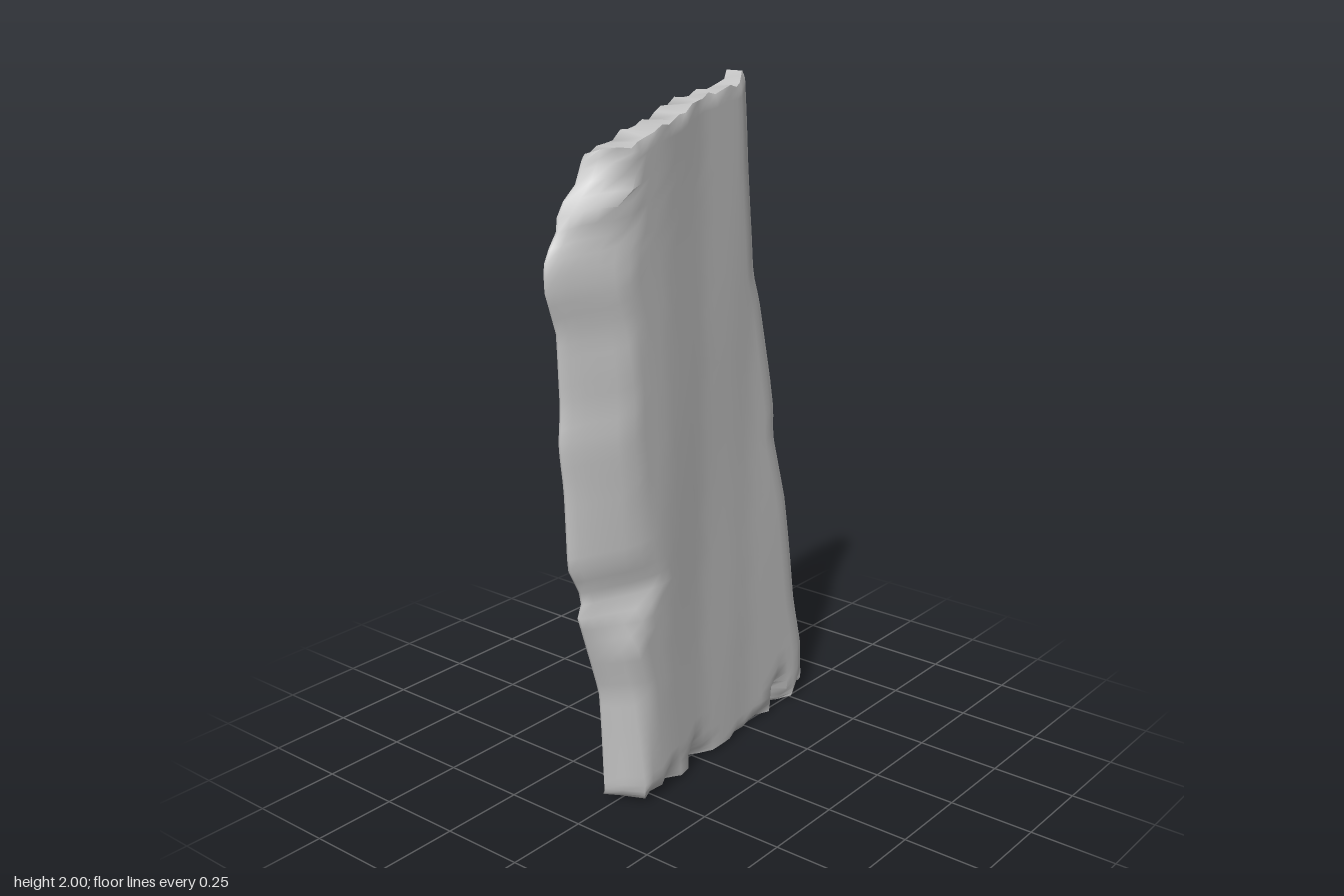
import * as THREE from 'three';
import { toCreasedNormals } from 'three/addons/utils/BufferGeometryUtils.js';

const { lerp, smoothstep } = THREE.MathUtils;

// piecewise linear curve through [position, value] pairs
function curve(pts) {
  return (p) => {
    if (p <= pts[0][0]) return pts[0][1];
    for (let i = 1; i < pts.length; i++) {
      const [a, va] = pts[i - 1], [b, vb] = pts[i];
      if (p <= b) return va + (vb - va) * (p - a) / (b - a);
    }
    return pts[pts.length - 1][1];
  };
}

// outline: left and right edge x by height, top and bottom height across the width
const leftEdge = curve([[0, -0.345], [0.03, -0.36], [0.2, -0.37], [0.35, -0.38], [0.61, -0.46],
  [0.645, -0.435], [0.75, -0.49], [0.98, -0.5], [1.1, -0.515], [1.2, -0.505], [1.4, -0.515],
  [1.52, -0.555], [1.6, -0.55], [1.65, -0.505], [1.72, -0.495], [1.75, -0.44], [1.84, -0.4]]);
const rightEdge = curve([[0, 0.54], [0.04, 0.55], [0.18, 0.545], [0.35, 0.5], [0.5, 0.475], [0.7, 0.44],
  [0.92, 0.375], [1, 0.375], [1.1, 0.355], [1.35, 0.295], [1.43, 0.265], [1.55, 0.255], [1.75, 0.23], [2, 0.21]]);
const topEdge = curve([[0, 1.84], [0.07, 1.86], [0.16, 1.865], [0.25, 1.89], [0.33, 1.9], [0.44, 1.91],
  [0.55, 1.935], [0.65, 1.95], [0.75, 1.955], [0.82, 1.965], [0.93, 1.97], [1, 2]]);
const bottomEdge = curve([[0, 0.015], [0.8, 0.006], [0.9, 0], [1, 0.04]]);

// front and back depth by x
const frontDepth = curve([[-0.35, 0.085], [-0.2, 0.078], [-0.1, 0.062], [0, 0.045], [0.15, 0.036],
  [0.25, 0.026], [0.55, 0.024]]);
const backDepth = curve([[-0.55, -0.042], [-0.4, -0.049], [-0.2, -0.06], [-0.12, -0.075], [-0.05, -0.09],
  [0.03, -0.097], [0.2, -0.088], [0.4, -0.085], [0.55, -0.075]]);
// the back draws in towards the foot and the top
const backScale = curve([[0.05, 0.8], [0.4, 0.88], [0.7, 0.93], [0.95, 1], [1.25, 0.97], [1.6, 0.8], [1.95, 0.6]]);
// the broken left side slopes away from this ridge, measured from the left edge
const ridge = curve([[0, 0.05], [0.5, 0.09], [0.66, 0.22], [1, 0.17], [1.3, 0.17], [1.6, 0.21], [1.75, 0.1], [1.86, 0.05]]);
// chips along the lower front edge: [x, height]
const chips = [[-0.33, 0.06], [-0.25, 0.07], [-0.18, 0.08], [-0.03, 0.13], [0.2, 0.04], [0.3, 0.06], [0.42, 0.15], [0.53, 0.08]];

const ripple = (x, y) => 0.002 * Math.sin(x * 14 + y * 4) * Math.sin(y * 9 + x * 5);

function frontZ(x, y, t) {
  const r = ridge(y), fromLeft = x - leftEdge(y), fromRight = rightEdge(y) - x;
  let z = frontDepth(x);
  if (fromLeft < r) z = lerp(-0.018, frontDepth(leftEdge(y) + r), Math.pow(Math.max(0, fromLeft) / r, 0.8));
  z -= 0.012 * (1 - smoothstep(fromRight, 0, 0.035));
  for (const [c, h] of chips) z -= 0.6 * Math.max(0, h * (1 - Math.abs(x - c) / 0.06) - y);
  if (t === 1) z -= 0.004 + 0.004 * Math.sin(x * 38);
  return z + ripple(x, y);
}

function backZ(x, y) {
  // the foot curves forward and both sides are worn
  const sideZ = -0.022 - 0.022 * smoothstep(y, 0.1, 0.9);
  const fromRight = Math.max(0, rightEdge(y) - x), fromLeft = Math.max(0, x - leftEdge(y));
  let z = backDepth(x) * backScale(y);
  z = lerp(Math.max(sideZ, z), z, Math.min(1, fromRight / 0.09));
  z = lerp(-0.025, z, Math.min(1, fromLeft / 0.03));
  return lerp(0.012, z, Math.sqrt(Math.min(1, y / 0.1))) + ripple(x + 2, y);
}

function slabGeometry() {
  const columns = [0, 0.025, 0.06];
  for (let i = 2; i <= 18; i++) columns.push(i * 0.05);
  columns.push(0.935, 0.965, 0.985, 1);
  const rows = [0, 0.006, 0.014, 0.025, 0.04, 0.055, 0.075];
  for (let i = 0; i <= 44; i++) rows.push(0.1 + i * 0.02);
  rows.push(0.99, 1);

  const m = columns.length, n = m * 2, pos = [], index = [];
  // one closed ring per row: front left to right, then back right to left
  for (const t of rows) {
    for (let j = 0; j < n; j++) {
      const back = j >= m, u = columns[back ? n - 1 - j : j];
      let y = lerp(bottomEdge(u), topEdge(u), t);
      const x = lerp(leftEdge(y), rightEdge(y), u);
      const front = frontZ(x, y, t);
      const z = back ? Math.min(backZ(x, y), front - 0.006) : front;
      if (t === 1 && u < 1) y += (back ? -0.012 : 0) + 0.006 * Math.sin(u * 47 + (back ? 2 : 0));
      pos.push(x, y, z);
    }
  }
  const quad = (a, b, c, d) => index.push(a, b, c, a, c, d);
  for (let i = 0; i < rows.length - 1; i++) {
    for (let j = 0; j < n; j++) {
      const k = (j + 1) % n;
      quad(i * n + j, i * n + k, (i + 1) * n + k, (i + 1) * n + j);
    }
  }
  // broken top and foot surfaces
  const last = (rows.length - 1) * n;
  for (let j = 0; j < m - 1; j++) {
    quad(last + j, last + j + 1, last + n - 2 - j, last + n - 1 - j);
    quad(n - 1 - j, n - 2 - j, j + 1, j);
  }
  const geo = new THREE.BufferGeometry();
  geo.setAttribute('position', new THREE.Float32BufferAttribute(pos, 3));
  geo.setIndex(index);
  return toCreasedNormals(geo, 1.1);
}

export function createModel() {
  const stone = new THREE.MeshStandardMaterial({ color: 0xc4c4c4 });
  stone.name = 'grey stone';
  const slab = new THREE.Mesh(slabGeometry(), stone);
  slab.name = 'stoneSlab';
  const model = new THREE.Group();
  model.name = 'brokenSlab';
  model.add(slab);
  return model;
}
